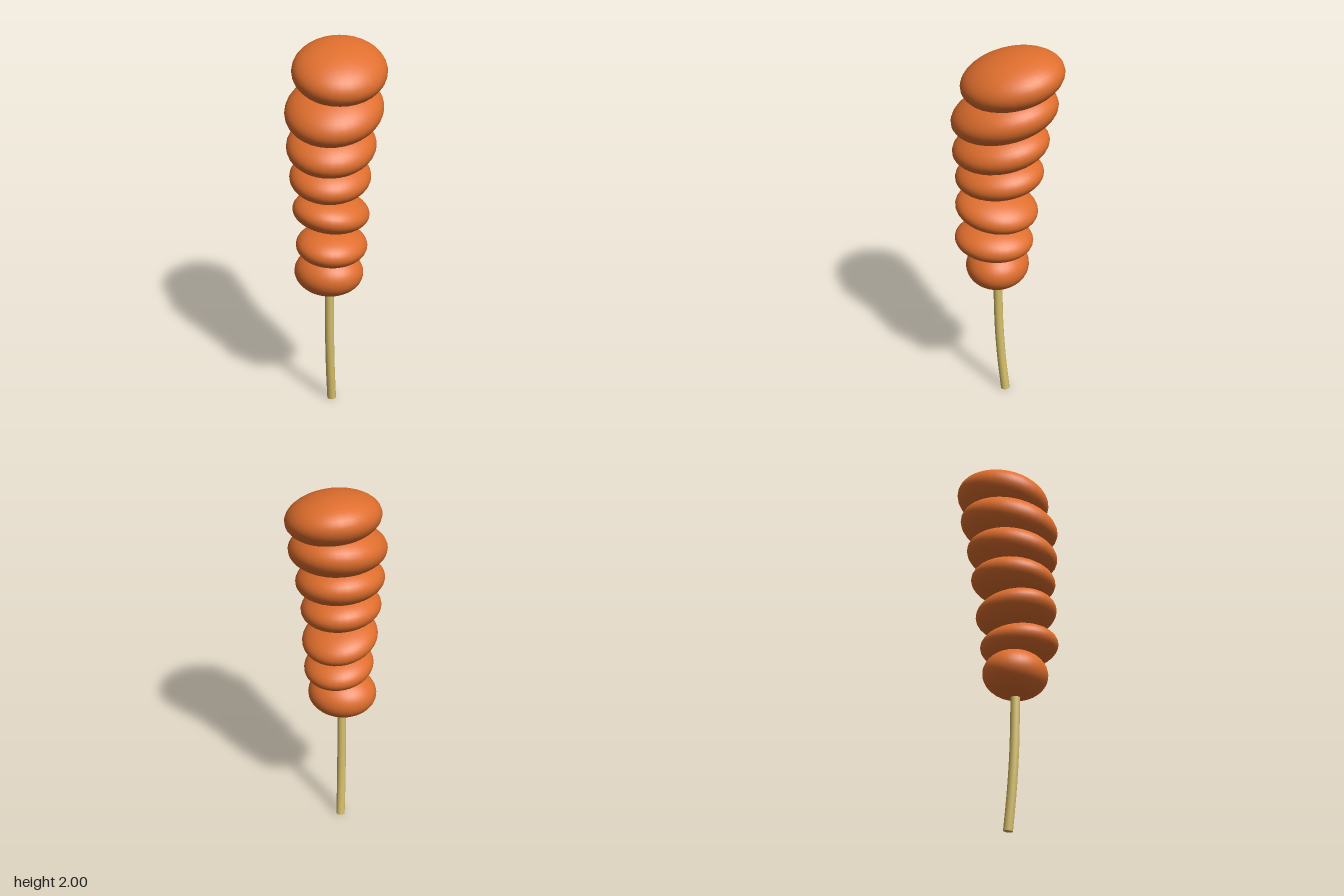
import * as THREE from 'three';

export function createModel() {
  const model = new THREE.Group();
  const batter = new THREE.MeshStandardMaterial({ color: 0xe06f2e });
  const wood = new THREE.MeshStandardMaterial({ color: 0xd6c06c });

  // Stacked, flattened lobes of the snack, bottom to top:
  // centre x, y, z; radii x, y, z; tilt about x and z in degrees
  const lobes = [
    [-0.016, 0.806, 0.058, 0.18, 0.122, 0.164, 0, 0],
    [0.005, 0.97, 0.071, 0.18, 0.094, 0.204, -2, -4],
    [-0.003, 1.151, 0.058, 0.194, 0.098, 0.213, -7, -6],
    [-0.011, 1.337, 0.045, 0.202, 0.104, 0.226, 6, -5],
    [-0.008, 1.5, 0.037, 0.221, 0.115, 0.247, 10.4, -5],
    [0, 1.68, 0.016, 0.241, 0.131, 0.271, 14, -3],
    [0.013, 1.865, -0.026, 0.232, 0.128, 0.258, 12, -8],
  ];
  const ball = new THREE.SphereGeometry(1, 32, 24);
  lobes.forEach(([x, y, z, rx, ry, rz, tiltX, tiltZ], i) => {
    const lobe = new THREE.Mesh(ball, batter);
    lobe.name = `lobe${i + 1}`;
    lobe.position.set(x, y, z);
    lobe.scale.set(rx, ry, rz);
    lobe.rotation.set(THREE.MathUtils.degToRad(tiltX), 0, THREE.MathUtils.degToRad(tiltZ));
    model.add(lobe);
  });

  // Gently bent stick, its upper end hidden inside the lowest lobe
  const path = new THREE.CatmullRomCurve3([
    new THREE.Vector3(-0.016, 0.003, 0.017),
    new THREE.Vector3(-0.016, 0.2, 0.037),
    new THREE.Vector3(-0.015, 0.4, 0.05),
    new THREE.Vector3(-0.014, 0.6, 0.055),
    new THREE.Vector3(-0.013, 0.8, 0.057),
  ]);
  const radius = 0.024;
  const stick = new THREE.Group();
  stick.name = 'stick';
  const shaft = new THREE.Mesh(new THREE.TubeGeometry(path, 20, radius, 16), wood);
  shaft.name = 'stickShaft';
  stick.add(shaft);

  // Flat end caps facing out along the path
  for (const [t, sign, name] of [[0, -1, 'stickBottom'], [1, 1, 'stickTop']]) {
    const cap = new THREE.Mesh(new THREE.CircleGeometry(radius, 16), wood);
    const p = path.getPointAt(t);
    cap.name = name;
    cap.position.copy(p);
    cap.lookAt(p.clone().addScaledVector(path.getTangentAt(t), sign));
    stick.add(cap);
  }
  model.add(stick);
  return model;
}
